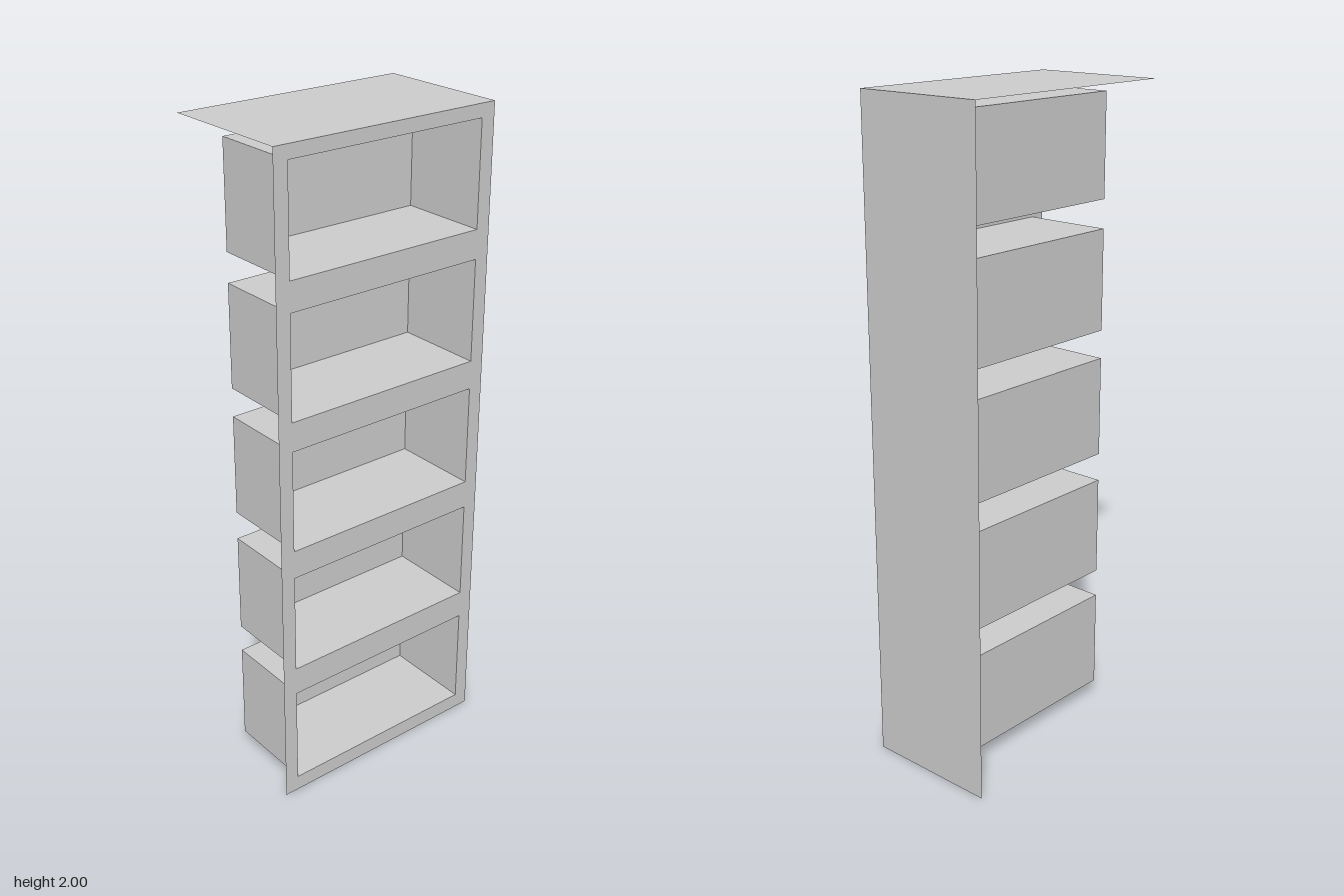
import * as THREE from 'three';

const W = 0.42, H = 2, D = 0.74;            // overall size
const FACE_X = W / 2, BACK_X = -0.07;       // open face and rear of the cubbies
const CUBBY_W = 0.65, CUBBY_H = 0.312, FIRST_Y = 0.048, PITCH = 0.4, COUNT = 5;

const material = new THREE.MeshStandardMaterial({ color: 0xcccccc, side: THREE.DoubleSide });

// Thin flat sheet; facing is the axis it is perpendicular to
function sheet(name, w, h, facing, x, y, z) {
  const geometry = new THREE.PlaneGeometry(w, h);
  if (facing === 'x') geometry.rotateY(Math.PI / 2);
  if (facing === 'y') geometry.rotateX(-Math.PI / 2);
  const mesh = new THREE.Mesh(geometry, material);
  mesh.name = name;
  mesh.position.set(x, y, z);
  return mesh;
}

function rectangle(path, w, y0, y1) {
  path.moveTo(-w / 2, y0).lineTo(w / 2, y0).lineTo(w / 2, y1).lineTo(-w / 2, y1).closePath();
  return path;
}

// Face frame with one opening per cubby
function makeFrame() {
  const shape = rectangle(new THREE.Shape(), D, 0, H);
  for (let i = 0; i < COUNT; i++) {
    const y = FIRST_Y + i * PITCH;
    shape.holes.push(rectangle(new THREE.Path(), CUBBY_W, y, y + CUBBY_H));
  }
  const mesh = new THREE.Mesh(new THREE.ShapeGeometry(shape).rotateY(Math.PI / 2), material);
  mesh.name = 'faceFrame';
  mesh.position.x = FACE_X;
  return mesh;
}

// Cubby: a box of sheets open towards +x
function makeCubby(y) {
  const cubby = new THREE.Group();
  cubby.name = 'cubby';
  const depth = FACE_X - BACK_X, midX = (FACE_X + BACK_X) / 2, midY = CUBBY_H / 2;
  cubby.add(
    sheet('cubbyFloor', depth, CUBBY_W, 'y', midX, 0, 0),
    sheet('cubbyCeiling', depth, CUBBY_W, 'y', midX, CUBBY_H, 0),
    sheet('cubbyRear', CUBBY_W, CUBBY_H, 'x', BACK_X, midY, 0)
  );
  for (const side of [-1, 1]) {
    cubby.add(sheet('cubbySide', depth, CUBBY_H, 'z', midX, midY, side * CUBBY_W / 2));
  }
  cubby.position.y = y;
  return cubby;
}

export function createModel() {
  const model = new THREE.Group();
  model.name = 'shelfUnit';
  model.add(
    makeFrame(),
    sheet('topPanel', W, D, 'y', 0, H, 0),
    sheet('backPanel', W, H, 'z', 0, H / 2, -D / 2)
  );
  for (let i = 0; i < COUNT; i++) model.add(makeCubby(FIRST_Y + i * PITCH));
  return model;
}
